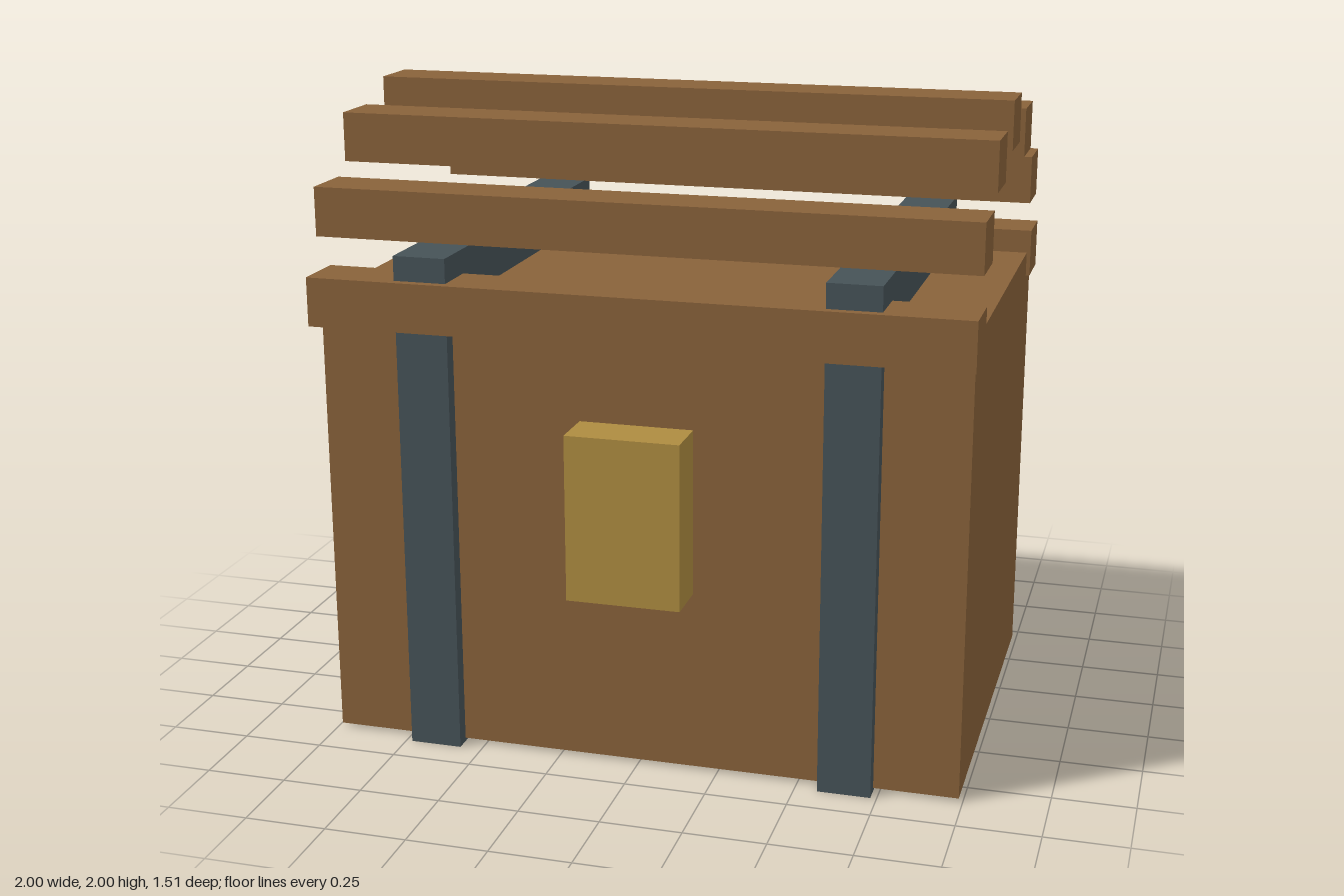
import * as THREE from 'three';

const wood = new THREE.MeshStandardMaterial({ name: 'wood brown', color: 0x89623a });
const iron = new THREE.MeshStandardMaterial({ name: 'iron slate', color: 0x465257 });
const brass = new THREE.MeshStandardMaterial({ name: 'brass gold', color: 0xae8c40 });

const MID_Z = -0.041; // centre line of the chest, the lock overhangs in front

function box(name, material, size, position) {
  const mesh = new THREE.Mesh(new THREE.BoxGeometry(...size), material);
  mesh.name = name;
  mesh.position.set(...position);
  return mesh;
}

export function createModel() {
  const chest = new THREE.Group();
  chest.name = 'chest';

  // Body
  chest.add(box('body', wood, [1.976, 1.4, 1.28], [0, 0.711, MID_Z]));

  // Iron straps wrapping the body
  for (const [name, side] of [['leftStrap', 1], ['rightStrap', -1]]) {
    chest.add(box(name, iron, [0.162, 1.56, 1.37], [side * 0.65, 0.78, MID_Z]));
  }

  // Lid: seven separate planks set along a half ellipse
  const lid = new THREE.Group();
  lid.name = 'lid';
  for (let i = 0; i <= 6; i++) {
    const a = (i * Math.PI) / 6;
    const y = 1.41 + 0.515 * Math.sin(a);
    const z = MID_Z + 0.626 * Math.cos(a);
    lid.add(box(`lidPlank${i + 1}`, wood, [2, 0.15, 0.174], [0, y, z]));
  }
  chest.add(lid);

  // Lock plate on the front
  chest.add(box('lock', brass, [0.348, 0.51, 0.15], [0, 0.83, 0.677]));

  return chest;
}
